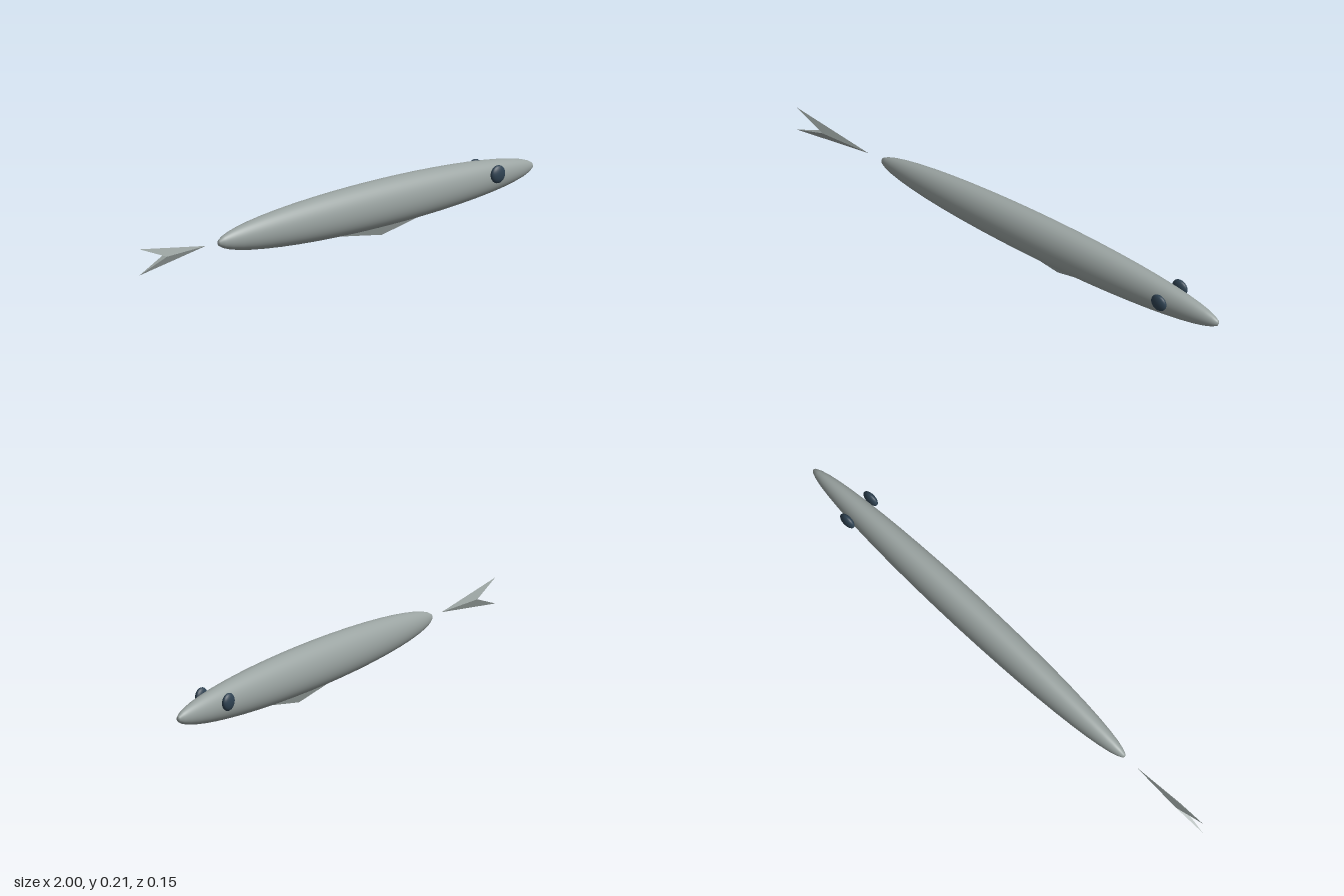
import * as THREE from 'three';

const bodyGrey = new THREE.MeshStandardMaterial({ name: 'bodyGrey', color: 0x9aa3a1 });
const eyeBlue = new THREE.MeshStandardMaterial({ name: 'eyeBlue', color: 0x2f4252 });

function addPart(group, name, geometry, material) {
  const mesh = new THREE.Mesh(geometry, material);
  mesh.name = name;
  group.add(mesh);
  return mesh;
}

// Ellipsoid with its poles along the x axis
function ellipsoid(rx, ry, rz, segments) {
  return new THREE.SphereGeometry(1, segments, segments / 2).rotateZ(-Math.PI / 2).scale(rx, ry, rz);
}

// Flat-faced solid from a few corners and triangles
function facets(points, triangles) {
  const geometry = new THREE.BufferGeometry();
  const corners = triangles.flat().flatMap((i) => points[i]);
  geometry.setAttribute('position', new THREE.Float32BufferAttribute(corners, 3));
  geometry.computeVertexNormals();
  return geometry;
}

export function createModel() {
  const model = new THREE.Group();
  model.name = 'fish';

  // Long slender body
  addPart(model, 'body', ellipsoid(0.8, 0.0895, 0.067, 48), bodyGrey).position.set(0.2, 0.1245, 0);

  // Flattened eyes on both sides of the head
  for (const side of [1, -1]) {
    addPart(model, side > 0 ? 'frontEye' : 'backEye', ellipsoid(0.034, 0.034, 0.0155, 24), eyeBlue)
      .position.set(0.765, 0.145, side * 0.061);
  }

  // Forked tail: tip, upper point, lower point, thick notch on either side
  const tail = facets(
    [[-0.66, 0.126, 0], [-1, 0.176, 0], [-1, 0.076, 0], [-0.87, 0.126, 0.012], [-0.87, 0.126, -0.012]],
    [[0, 1, 3], [0, 3, 2], [0, 4, 1], [0, 2, 4], [1, 4, 3], [2, 3, 4]],
  );
  addPart(model, 'tailFin', tail, bodyGrey);

  // Belly keel: upside-down pyramid sunk into the body
  const keel = facets(
    [[0.235, 0.002, 0], [-0.08, 0.05, 0], [0.235, 0.05, 0.016], [0.5, 0.05, 0], [0.235, 0.05, -0.016]],
    [[0, 2, 1], [0, 3, 2], [0, 4, 3], [0, 1, 4], [1, 2, 3], [1, 3, 4]],
  );
  addPart(model, 'bellyFin', keel, bodyGrey);

  return model;
}
